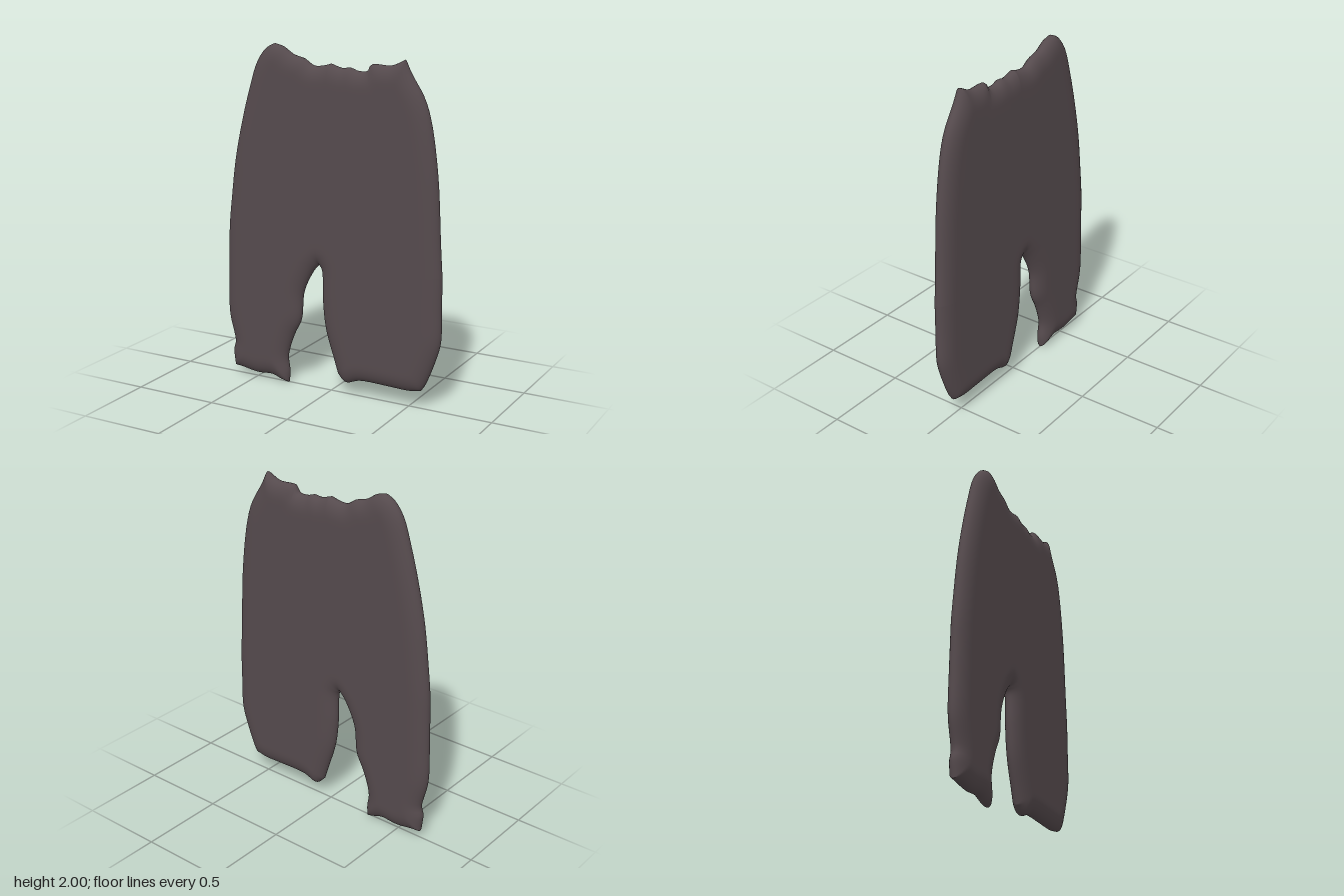
import * as THREE from 'three';
import { mergeVertices } from 'three/addons/utils/BufferGeometryUtils.js';

const N = 36;            // grid steps along each patch side
const HALF = 0.052;      // half thickness of the cloth slab
const ROUND = 0.1;       // width of the rounded rim
// Steps are finer close to the patch borders, where the rim curves away.
const steps = Array.from({ length: N + 1 }, (_, i) => (1 - Math.cos(Math.PI * i / N)) / 2);

// Smooth curve through x, y pairs, sampled at the shared steps.
function curve(...points) {
  const c = new THREE.CatmullRomCurve3(points.map(([x, y]) => new THREE.Vector3(x, y, 0)), false, 'centripetal');
  c.arcLengthDivisions = 600;
  return steps.map(t => c.getPointAt(t));
}

// Outline, side by side: sides run upward, hems and waist run toward +x.
const crotch = [-0.075, 0.757];
const rightHip = [-0.685, 0.78], leftHip = [0.687, 0.78], waistMid = [0, 1.905];
const rightWaist = curve([-0.36, 2], [-0.305, 1.985], [-0.24, 1.945], [-0.17, 1.925], [-0.11, 1.89], [-0.05, 1.892], waistMid);
const leftWaist = curve(waistMid, [0.07, 1.885], [0.12, 1.89], [0.16, 1.876], [0.23, 1.88], [0.245, 1.913], [0.37, 1.916], [0.45, 1.95]);
const rightSide = curve(rightHip, [-0.68, 0.92], [-0.66, 1.1], [-0.63, 1.32], [-0.585, 1.53], [-0.53, 1.73], [-0.47, 1.9], [-0.41, 1.975], [-0.36, 2]);
const leftSide = curve(leftHip, [0.675, 0.95], [0.65, 1.34], [0.605, 1.63], [0.565, 1.75], [0.485, 1.88], [0.45, 1.95]);
const rightOuter = curve([-0.655, 0.05], [-0.665, 0.16], [-0.652, 0.2], [-0.69, 0.38], [-0.69, 0.6], rightHip);
const rightInner = curve([-0.285, 0.005], [-0.28, 0.07], [-0.29, 0.165], [-0.245, 0.31], [-0.2, 0.4], [-0.18, 0.575], [-0.115, 0.71], crotch);
const leftInner = curve([0.05, 0.12], [0.025, 0.2], [-0.03, 0.38], [-0.05, 0.55], [-0.057, 0.73], crotch);
const leftOuter = curve([0.575, 0.11], [0.6, 0.15], [0.665, 0.32], [0.687, 0.41], [0.688, 0.6], leftHip);
const rightHem = curve([-0.655, 0.05], [-0.6, 0.045], [-0.5, 0.03], [-0.39, 0.035], [-0.33, 0.015], [-0.285, 0.005]);
const leftHem = curve([0.05, 0.12], [0.1, 0.075], [0.19, 0.1], [0.38, 0.1], [0.5, 0.098], [0.575, 0.11]);
const outline = [rightWaist, leftWaist, rightSide, leftSide, rightOuter, rightInner, leftInner, leftOuter, rightHem, leftHem];

// Lines inside the cloth that the four patches share.
const seam = curve(crotch, waistMid);
const rightThigh = curve(rightHip, crotch), leftThigh = curve(crotch, leftHip);

// Distance from a point to the nearest stretch of outline.
function rimDistance(x, y) {
  let best = Infinity;
  for (const side of outline) {
    for (let i = 0; i < N; i++) {
      const a = side[i], dx = side[i + 1].x - a.x, dy = side[i + 1].y - a.y;
      const t = THREE.MathUtils.clamp(((x - a.x) * dx + (y - a.y) * dy) / (dx * dx + dy * dy || 1), 0, 1);
      best = Math.min(best, Math.hypot(x - a.x - t * dx, y - a.y - t * dy));
    }
  }
  return best;
}

// Fills four border curves with a grid, then puffs it to the front and back.
function addPatch(positions, index, bottom, top, left, right) {
  const blend = (key, i, j) => {
    const u = steps[i], v = steps[j];
    return (1 - v) * bottom[i][key] + v * top[i][key] + (1 - u) * left[j][key] + u * right[j][key]
      - (1 - v) * ((1 - u) * bottom[0][key] + u * bottom[N][key])
      - v * ((1 - u) * top[0][key] + u * top[N][key]);
  };
  const start = positions.length / 3;
  for (let j = 0; j <= N; j++) {
    for (let i = 0; i <= N; i++) {
      const x = blend('x', i, j), y = blend('y', i, j);
      const k = 1 - Math.min(rimDistance(x, y) / ROUND, 1);
      const z = HALF * Math.sqrt(Math.max(0, 1 - k * k));
      positions.push(x, y, z, x, y, -z);
    }
  }
  for (let j = 0; j < N; j++) {
    for (let i = 0; i < N; i++) {
      const a = start + 2 * (j * (N + 1) + i), b = a + 2, d = a + 2 * (N + 1), c = d + 2;
      index.push(a, b, c, a, c, d);                             // front
      index.push(a + 1, c + 1, b + 1, a + 1, d + 1, c + 1);     // back
    }
  }
}

export function createModel() {
  const positions = [], index = [];
  addPatch(positions, index, rightThigh, rightWaist, rightSide, seam);      // right torso
  addPatch(positions, index, leftThigh, leftWaist, seam, leftSide);         // left torso
  addPatch(positions, index, rightHem, rightThigh, rightOuter, rightInner); // right leg
  addPatch(positions, index, leftHem, leftThigh, leftInner, leftOuter);     // left leg

  let geometry = new THREE.BufferGeometry();
  geometry.setAttribute('position', new THREE.Float32BufferAttribute(positions, 3));
  geometry.setIndex(index);
  geometry = mergeVertices(geometry, 1e-5);
  geometry.computeVertexNormals();

  const cloth = new THREE.MeshStandardMaterial({ color: 0x554a4d });
  cloth.name = 'dark brown cloth';
  const trousers = new THREE.Mesh(geometry, cloth);
  trousers.name = 'trousers';
  const model = new THREE.Group();
  model.name = 'flat trousers';
  model.add(trousers);
  return model;
}
